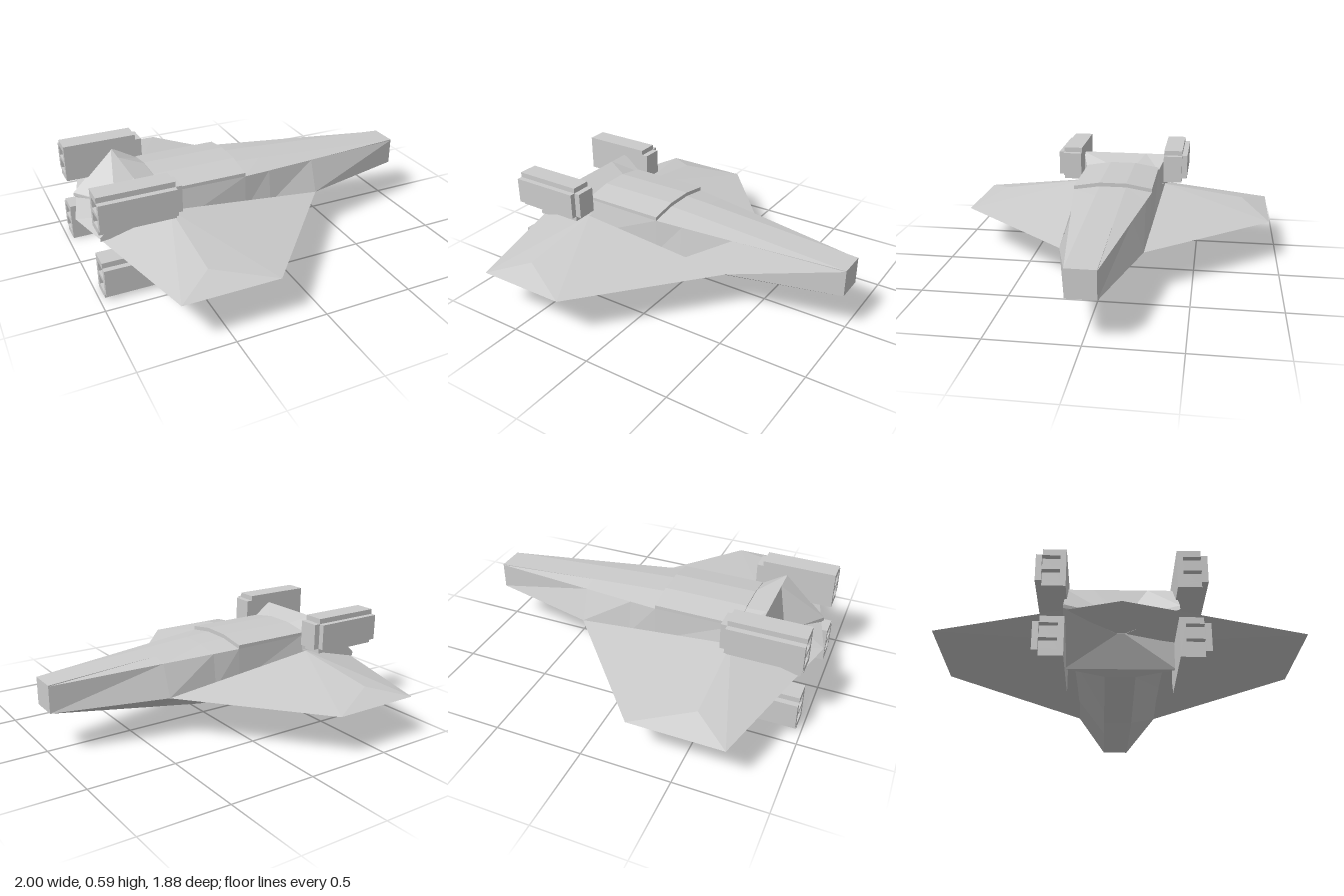
import * as THREE from 'three';

const material = new THREE.MeshStandardMaterial({ color: 0xcccccc, flatShading: true });

function facetMesh(name, positions) {
  const g = new THREE.BufferGeometry();
  g.setAttribute('position', new THREE.Float32BufferAttribute(positions, 3));
  g.computeVertexNormals();
  const mesh = new THREE.Mesh(g, material);
  mesh.name = name;
  return mesh;
}

// Skin mirrored half-sections, listed nose to tail; each point is [x, y, z]
function loft(name, halves) {
  const rings = halves.map(h => [...h, ...h.map(([x, y, z]) => [x, y, -z]).reverse()]);
  const out = [], n = rings[0].length;
  const tri = (a, b, c) => out.push(...a, ...b, ...c);
  for (let i = 0; i < rings.length - 1; i++) {
    for (let j = 0; j < n; j++) {
      const k = (j + 1) % n, [p, q] = [rings[i], rings[i + 1]];
      tri(p[j], q[j], q[k]);
      tri(p[j], q[k], p[k]);
    }
  }
  const first = rings[0], last = rings[rings.length - 1];
  for (let j = 1; j < n - 1; j++) {
    tri(first[0], first[j], first[j + 1]);
    tri(last[0], last[j + 1], last[j]);
  }
  return facetMesh(name, out);
}

// Section at one x, from [z, y] pairs
const section = (x, ...pts) => pts.map(([z, y]) => [x, y, z]);

// Faceted wing for one side, triangles turned to face up or down
function wing(side) {
  const root = [0.37, 0.25, 0.235], ridge = [-0.55, 0.37, 0.28], outer = [-0.55, 0.3, 0.78];
  const tipFront = [-0.23, 0.25, 0.94], tipRear = [-0.75, 0.25, 0.94], tail = [-1, 0.28, 0];
  const spine = [-0.55, 0.37, 0], belly = [-0.72, 0.222, 0.28], keel = [-0.72, 0.222, 0];
  const rootMid = [0.37, 0.25, 0];
  const top = [[root, tipFront, ridge], [tipFront, outer, ridge], [tipFront, tipRear, outer],
    [outer, tipRear, ridge], [ridge, tipRear, tail], [ridge, tail, spine]];
  const bottom = [[root, tipFront, belly], [tipFront, tipRear, belly], [tipRear, tail, belly],
    [belly, tail, keel], [root, belly, keel], [root, keel, rootMid]];
  const out = [];
  const add = (tris, up) => tris.forEach(t => {
    const [a, b, c] = t.map(([x, y, z]) => [x, y, z * side]);
    const ny = (b[2] - a[2]) * (c[0] - a[0]) - (b[0] - a[0]) * (c[2] - a[2]);
    out.push(...a, ...(ny * up > 0 ? [...b, ...c] : [...c, ...b]));
  });
  add(top, 1);
  add(bottom, -1);
  return facetMesh(side > 0 ? 'leftWing' : 'rightWing', out);
}

// Engine pod: stepped block, front plug and recessed exhaust
function engine(side, y, front) {
  const pod = new THREE.Group();
  const shape = () => new THREE.Shape([[0.27, -0.105], [0.387, -0.105], [0.387, -0.075],
    [0.42, -0.075], [0.42, 0.075], [0.387, 0.075], [0.387, 0.105], [0.27, 0.105]]
    .map(([z, h]) => new THREE.Vector2(-side * z, h)));
  const extrude = (name, s, x0, x1) => {
    const g = new THREE.ExtrudeGeometry(s, { depth: x1 - x0, bevelEnabled: false });
    const mesh = new THREE.Mesh(g, material);
    mesh.rotation.y = Math.PI / 2;
    mesh.position.x = x0;
    mesh.name = name;
    pod.add(mesh);
  };
  extrude('engineBlock', shape(), -0.94, front);
  const rim = shape();
  for (const h of [-0.04, 0.04]) {
    rim.holes.push(new THREE.Path([[0.3, -0.03], [0.3, 0.03], [0.39, 0.03], [0.39, -0.03]]
      .map(([z, d]) => new THREE.Vector2(-side * z, h + d))));
  }
  extrude('exhaustRim', rim, -0.97, -0.94);
  const plug = new THREE.Mesh(new THREE.BoxGeometry(0.06, 0.15, 0.117), material);
  plug.position.set(front + 0.005, 0, side * 0.3285);
  plug.name = 'enginePlug';
  pod.add(plug);
  pod.position.y = y;
  pod.name = (y > 0.3 ? 'upper' : 'lower') + (side > 0 ? 'Left' : 'Right') + 'Engine';
  return pod;
}

export function createModel() {
  const ship = new THREE.Group();
  ship.name = 'spacecraft';

  // Hull sections: deck edge, shoulder, chine, keel edge
  ship.add(loft('hull', [
    section(1, [0.08, 0.405], [0.08, 0.4], [0.08, 0.25], [0.08, 0.2499]),
    section(0.37, [0.08, 0.447], [0.17, 0.43], [0.235, 0.25], [0.08, 0.148]),
    section(0.07, [0.08, 0.467], [0.213, 0.443], [0.238, 0.25], [0.08, 0.1]),
    section(-0.09, [0.08, 0.475], [0.235, 0.45], [0.245, 0.25], [0.08, 0.1]),
    section(-0.55, [0.08, 0.485], [0.235, 0.455], [0.27, 0.25], [0.08, 0.1]),
    section(-0.7, [0.14, 0.53], [0.28, 0.53], [0.28, 0.3], [0.28, 0.07]),
    [[-0.77, 0.32, 0.02], [-0.94, 0.295, 0.28], [-0.94, 0.275, 0.28], [-0.77, 0.23, 0.02]],
  ]));

  // Raised plate over the rear deck
  const plate = x => section(x, [0.08, 0.498], [0.235, 0.472], [0.235, 0.44], [0.08, 0.44]);
  ship.add(loft('deckPlate', [plate(-0.09), plate(-0.57)]));

  for (const side of [1, -1]) {
    ship.add(wing(side));
    ship.add(engine(side, 0.485, -0.555), engine(side, 0.108, -0.57));
  }
  return ship;
}
